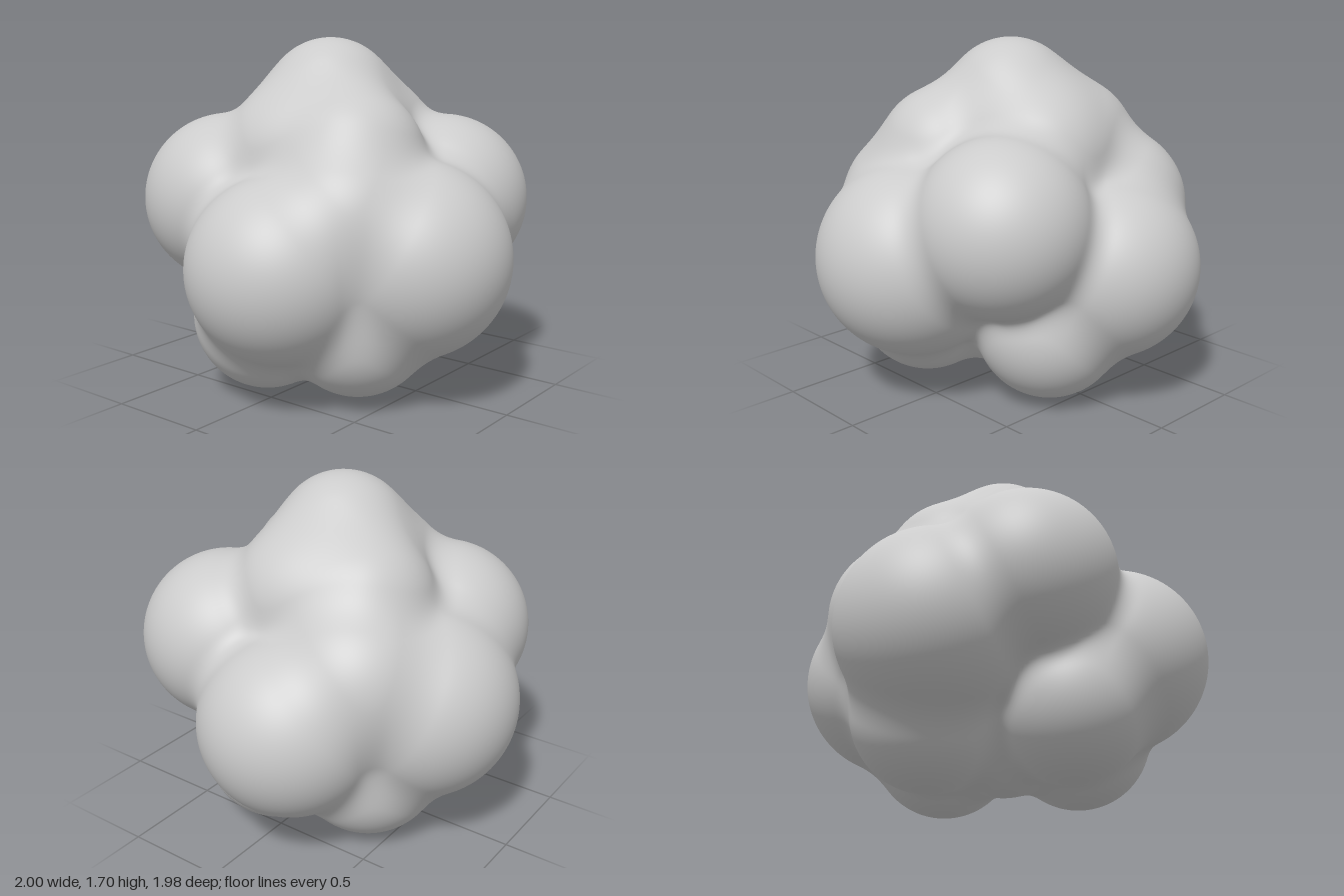
import * as THREE from 'three';
import { mergeVertices } from 'three/addons/utils/BufferGeometryUtils.js';

// Lobes of the puff: centre x, y, z and radius
const upperLobes = [
  // crown and the four shoulders below it
  [-0.02, 1.37, 0.01, 0.33],
  [-0.23, 1.15, -0.15, 0.36],
  [0.24, 1.13, 0.18, 0.35],
  [0.03, 1.15, -0.23, 0.355],
  [-0.08, 1.13, 0.22, 0.355],
];
const lowerLobes = [
  // core
  [0, 0.8, 0, 0.5],
  [0, 0.4, 0, 0.36],
  // wide ring around the middle
  [0.11, 0.66, 0.55, 0.44],
  [-0.12, 0.65, -0.55, 0.44],
  [0.53, 0.69, 0.1, 0.47],
  [-0.53, 0.7, -0.08, 0.47],
  [-0.41, 0.91, 0.33, 0.42],
  [0.4, 0.9, -0.37, 0.42],
  [0.31, 0.88, 0.32, 0.39],
  [-0.34, 0.88, -0.35, 0.39],
  // base
  [-0.1, 0.38, 0.4, 0.36],
  [0.1, 0.37, -0.38, 0.36],
  [0.33, 0.39, 0.25, 0.36],
  [-0.33, 0.37, -0.22, 0.37],
];

// Minimum of two distances with a soft crease of width k
function softMin(a, b, k) {
  const h = Math.max(k - Math.abs(a - b), 0) / k;
  return Math.min(a, b) - h * h * k * 0.25;
}

function groupDistance(lobes, k, x, y, z) {
  let d = 10;
  for (const [cx, cy, cz, r] of lobes) {
    d = softMin(d, Math.hypot(x - cx, y - cy, z - cz) - r, k);
  }
  return d;
}

// The upper lobes melt together more than the lower ones
function distance(x, y, z) {
  const upper = groupDistance(upperLobes, 0.14, x, y, z);
  const lower = groupDistance(lowerLobes, 0.09, x, y, z);
  return softMin(upper, lower, 0.09);
}

// A fine ball shrunk from outside onto the joined lobes
function puffGeometry() {
  const ball = new THREE.IcosahedronGeometry(1, 60);
  ball.deleteAttribute('uv');
  ball.deleteAttribute('normal');
  const geometry = mergeVertices(ball, 1e-5);
  const position = geometry.attributes.position;
  const dir = new THREE.Vector3();
  const centreY = 0.75;
  for (let i = 0; i < position.count; i++) {
    dir.fromBufferAttribute(position, i).normalize();
    let t = 1.5;
    for (let step = 0; step < 60; step++) {
      const d = distance(dir.x * t, centreY + dir.y * t, dir.z * t);
      t -= d;
      if (d < 0.0005) break;
    }
    position.setXYZ(i, dir.x * t, centreY + dir.y * t, dir.z * t);
  }
  geometry.computeVertexNormals();

  // Stand it on the ground
  geometry.computeBoundingBox();
  geometry.translate(0, -geometry.boundingBox.min.y, 0);
  return geometry;
}

export function createModel() {
  const group = new THREE.Group();
  group.name = 'lobedPuff';
  const puff = new THREE.Mesh(
    puffGeometry(),
    new THREE.MeshStandardMaterial({ color: 0xcccccc })
  );
  puff.name = 'puff';
  group.add(puff);
  return group;
}
